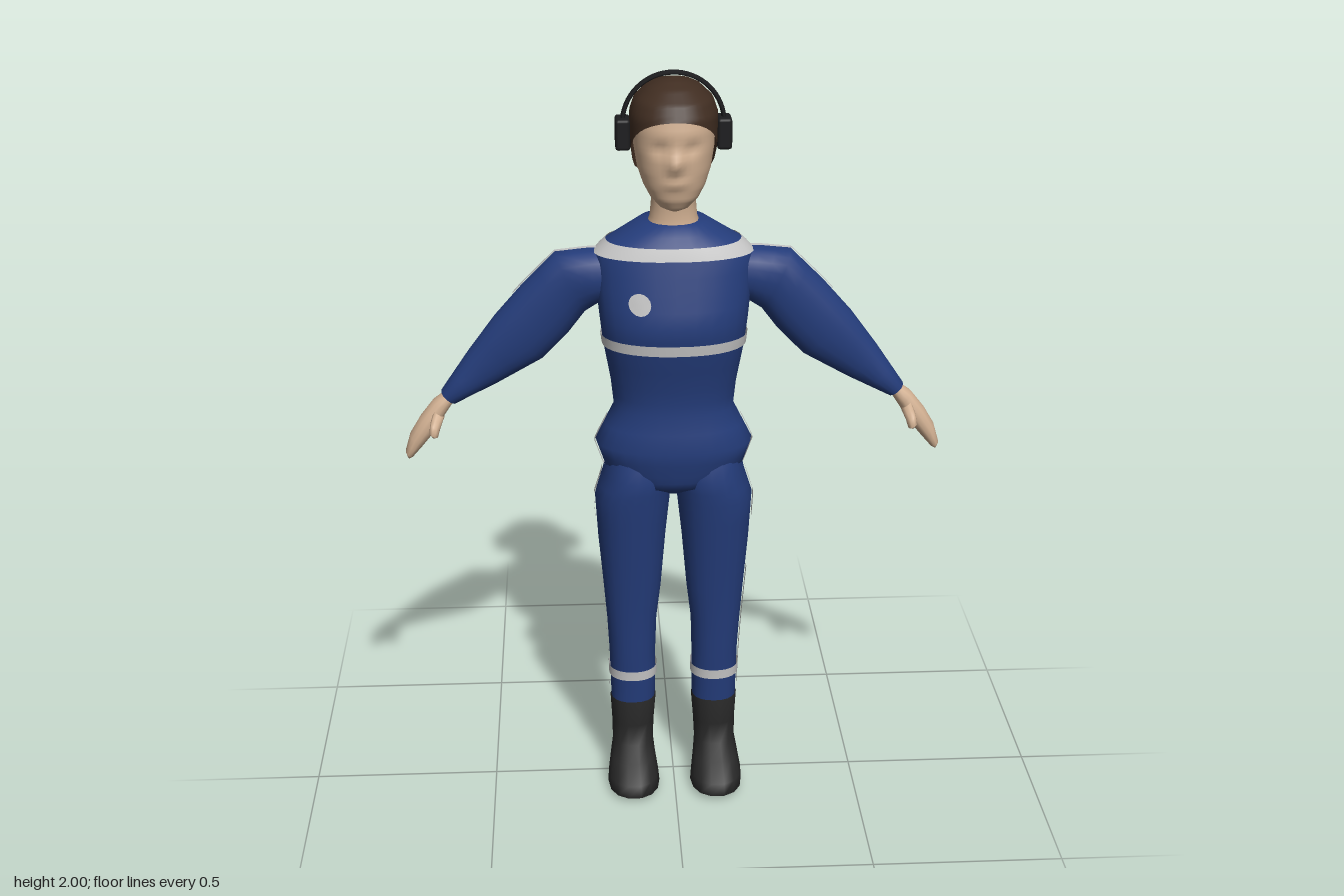
import * as THREE from 'three';
import { mergeVertices } from 'three/addons/utils/BufferGeometryUtils.js';
import { RoundedBoxGeometry } from 'three/addons/geometries/RoundedBoxGeometry.js';

const TAU = Math.PI * 2;
const mat = (name, color) => {
  const m = new THREE.MeshStandardMaterial({ color });
  m.name = name;
  return m;
};

// A ring is [ax, ay, bx, by, zBack, zFront]: two ends of its width plus its depth.
const level = (y, r, z0, z1, cx = 0) => [cx + r, y, cx - r, y, z0, z1];
const mirrorRing = ([ax, ay, bx, by, z0, z1]) => [-bx, by, -ax, ay, z0, z1];
const soft = (v) => Math.sign(v) * Math.pow(Math.abs(v), 0.9);

// Point on the skin of a stack of rings, t being a fractional ring index.
function at(rings, t, angle, off = 0) {
  const i = Math.min(Math.floor(t), rings.length - 2), f = t - i;
  const [ax, ay, bx, by, z0, z1] = rings[i].map((v, k) => v + (rings[i + 1][k] - v) * f);
  const hx = (ax - bx) / 2, hy = (ay - by) / 2, k = 1 + off / Math.max(Math.hypot(hx, hy), 1e-4);
  const c = soft(Math.cos(angle)) * k, s = soft(Math.sin(angle));
  return new THREE.Vector3((ax + bx) / 2 + hx * c, (ay + by) / 2 + hy * c,
    (z0 + z1) / 2 + ((z1 - z0) / 2 + off) * s);
}

// Ring index at a height, for level stacks.
function indexAtY(rings, y) {
  for (let i = 0; i < rings.length - 1; i++)
    if (y <= rings[i + 1][1]) return Math.max(0, i + (y - rings[i][1]) / (rings[i + 1][1] - rings[i][1]));
  return rings.length - 1;
}

// Smooth surface from f(u, v), facing along du x dv.
function grid(f, nu, nv) {
  const pos = [], idx = [];
  for (let i = 0; i <= nu; i++)
    for (let j = 0; j <= nv; j++) pos.push(...f(i / nu, j / nv).toArray());
  for (let i = 0; i < nu; i++)
    for (let j = 0; j < nv; j++) {
      const a = i * (nv + 1) + j, b = a + nv + 1;
      idx.push(a, b, a + 1, b, b + 1, a + 1);
    }
  let g = new THREE.BufferGeometry();
  g.setAttribute('position', new THREE.Float32BufferAttribute(pos, 3));
  g.setIndex(idx);
  g = mergeVertices(g, 1e-5);
  g.computeVertexNormals();
  return g;
}
const loft = (rings, sides = 20, sub = 2) =>
  grid((u, v) => at(rings, u * (rings.length - 1), v * TAU), (rings.length - 1) * sub, sides);
const patch = (rings, t0, t1, a0, a1, nu, nv, off = 0.004) =>
  grid((u, v) => at(rings, t0 + (t1 - t0) * u, a0 + (a1 - a0) * v, off), nu, nv);
const bandY = (rings, y0, y1, a0 = 0, a1 = TAU, nu = 2, nv = 32) =>
  patch(rings, indexAtY(rings, y0), indexAtY(rings, y1), a0, a1, nu, nv);

export function createModel() {
  const model = new THREE.Group();
  model.name = 'figure';
  const suit = mat('suitBlue', 0x243c7a), stripe = mat('stripeGrey', 0xc6c6c6);
  const skin = mat('skin', 0xd0af91), hair = mat('hairBrown', 0x402d21);
  const boot = mat('bootBlack', 0x272727), black = mat('headsetBlack', 0x1c1c1e);
  stripe.side = THREE.DoubleSide;
  hair.side = THREE.DoubleSide;
  const add = (name, geometry, material) => {
    const m = new THREE.Mesh(geometry, material);
    m.name = name;
    model.add(m);
    return m;
  };

  // Torso of the overalls
  const torso = [
    level(0.88, 0.03, -0.03, 0.05), level(0.92, 0.14, -0.1, 0.12), level(0.96, 0.182, -0.112, 0.132),
    level(1.03, 0.205, -0.115, 0.145), level(1.13, 0.156, -0.086, 0.13), level(1.2, 0.163, -0.085, 0.135),
    level(1.31, 0.182, -0.09, 0.16), level(1.38, 0.19, -0.09, 0.17), level(1.46, 0.198, -0.09, 0.15),
    level(1.548, 0.2, -0.09, 0.127), level(1.575, 0.172, -0.089, 0.118), level(1.622, 0.085, -0.082, 0.078),
    level(1.628, 0.02, -0.02, 0.02)];
  add('torso', loft(torso, 28), suit);
  add('chestStripe', bandY(torso, 1.308, 1.336), stripe);
  add('yokeStripe', bandY(torso, 1.546, 1.577), stripe);
  // Round chest patch that follows the cloth
  add('chestPatch', grid((u, v) => {
    const x = -0.09 + 0.028 * u * Math.cos(v * TAU), y = 1.442 + 0.028 * u * Math.sin(v * TAU);
    const angle = Math.acos(-Math.pow(-x / 0.2, 1 / 0.9));
    return at(torso, indexAtY(torso, y), angle, 0.005);
  }, 2, 16), stripe);

  const leg = [
    level(0.245, 0.06, -0.049, 0.064, 0.112), level(0.34, 0.062, -0.055, 0.07, 0.112),
    level(0.4, 0.063, -0.062, 0.075, 0.113), level(0.5, 0.067, -0.046, 0.082, 0.114),
    level(0.6, 0.077, -0.054, 0.092, 0.112), level(0.75, 0.09, -0.08, 0.11, 0.112),
    level(0.87, 0.1, -0.1, 0.125, 0.109), level(0.94, 0.091, -0.108, 0.13, 0.096),
    level(1.02, 0.08, -0.09, 0.11, 0.09)];
  const bootRings = [
    level(0.004, 0.01, 0.07, 0.09, 0.115), level(0.005, 0.058, 0, 0.16, 0.114),
    level(0.02, 0.071, -0.012, 0.183, 0.114), level(0.05, 0.069, -0.018, 0.172, 0.115),
    level(0.085, 0.062, -0.035, 0.118, 0.115), level(0.12, 0.056, -0.048, 0.072, 0.114),
    level(0.18, 0.058, -0.051, 0.066, 0.113), level(0.255, 0.063, -0.052, 0.068, 0.112),
    level(0.256, 0.05, -0.04, 0.055, 0.112)];
  // Sleeve, wrist to shoulder
  const arm = [
    [0.59, 1.155, 0.578, 1.143, 0, 0.01], [0.603, 1.168, 0.565, 1.136, -0.033, 0.04],
    [0.53, 1.275, 0.455, 1.19, -0.046, 0.047], [0.46, 1.37, 0.335, 1.258, -0.055, 0.06],
    [0.385, 1.455, 0.27, 1.325, -0.057, 0.065], [0.3, 1.54, 0.225, 1.385, -0.056, 0.07],
    [0.215, 1.55, 0.19, 1.41, -0.056, 0.078], [0.15, 1.55, 0.15, 1.42, -0.05, 0.07]];
  // Hand, fingertips to wrist
  const hand = [
    [0.697, 0.99, 0.69, 0.988, 0.005, 0.03], [0.702, 1.008, 0.682, 0.993, -0.014, 0.045],
    [0.688, 1.055, 0.655, 1.023, -0.02, 0.05], [0.66, 1.102, 0.622, 1.062, -0.021, 0.05],
    [0.625, 1.145, 0.592, 1.11, -0.02, 0.04], [0.596, 1.165, 0.57, 1.142, -0.018, 0.032]];
  const thumb = [
    [0.626, 1.066, 0.622, 1.064, 0.073, 0.079], [0.634, 1.078, 0.612, 1.066, 0.06, 0.088],
    [0.631, 1.1, 0.606, 1.085, 0.042, 0.082], [0.622, 1.125, 0.595, 1.108, 0.01, 0.05]];

  for (const side of [1, -1]) {
    const name = (part) => (side > 0 ? 'left' : 'right') + part;
    const own = (rings) => (side > 0 ? rings : rings.map(mirrorRing));
    const outer = side > 0 ? 0 : Math.PI;
    const l = own(leg), a = own(arm);
    add(name('Leg'), loft(l), suit);
    add(name('AnkleStripe'), bandY(l, 0.328, 0.356), stripe);
    add(name('ShinSideStripe'), bandY(l, 0.28, 0.65, outer - 0.09, outer + 0.09, 12, 2), stripe);
    add(name('ThighSideStripe'), bandY(l, 0.8, 0.95, outer - 0.07, outer + 0.07, 8, 2), stripe);
    add(name('HipSideStripe'), bandY(torso, 0.95, 1.1, outer - 0.05, outer + 0.05, 8, 2), stripe);
    add(name('Boot'), loft(own(bootRings), 14, 1), boot);
    add(name('Sleeve'), loft(a), suit);
    add(name('SleeveStripe'), patch(a, 3.7, 6.3, outer - 0.09, outer + 0.09, 12, 2), stripe);
    add(name('Hand'), loft(own(hand), 14), skin);
    add(name('Thumb'), loft(own(thumb), 10), skin);
  }

  // Neck and face, with nose, brow and mouth shaped by a rule
  add('neck', loft([level(1.6, 0.072, -0.06, 0.072), level(1.635, 0.06, -0.048, 0.067),
    level(1.68, 0.056, -0.046, 0.07), level(1.74, 0.068, -0.06, 0.075)]), skin);
  const head = [
    level(1.664, 0.012, 0.06, 0.085), level(1.676, 0.038, 0.01, 0.113), level(1.7, 0.061, -0.015, 0.128),
    level(1.73, 0.078, -0.045, 0.135), level(1.77, 0.092, -0.075, 0.14), level(1.82, 0.1, -0.092, 0.143),
    level(1.87, 0.103, -0.1, 0.143), level(1.91, 0.1, -0.098, 0.135), level(1.95, 0.07, -0.06, 0.09)];
  const bump = (x, y, cx, cy, wx, wy) => Math.exp(-(((x - cx) / wx) ** 2) - ((y - cy) / wy) ** 2);
  add('face', grid((u, v) => {
    const p = at(head, u * (head.length - 1), v * TAU);
    if (p.z > 0.05) {
      const x = Math.abs(p.x);
      p.z += 0.022 * bump(x, p.y, 0, 1.797, 0.017, 0.024) + 0.008 * bump(x, p.y, 0, 1.745, 0.03, 0.011)
        - 0.011 * bump(x, p.y, 0.038, 1.832, 0.022, 0.016);
    }
    return p;
  }, 32, 48), skin);

  // Hair cap: hairline high over the brow, low at the nape
  const hairRings = [
    level(1.69, 0.066, -0.08, 0.06), level(1.76, 0.099, -0.102, 0.13), level(1.82, 0.108, -0.112, 0.147),
    level(1.9, 0.11, -0.115, 0.144), level(1.935, 0.098, -0.102, 0.125), level(1.965, 0.066, -0.07, 0.085),
    level(1.982, 0.03, -0.025, 0.045), level(1.985, 0.001, 0.009, 0.011)];
  add('hair', grid((u, v) => {
    const s = Math.sin(v * TAU);
    const edge = s > 0 ? 1.78 + 0.12 * Math.pow(s, 0.65) : 1.78 - 0.08 * Math.pow(-s, 0.7);
    return at(hairRings, indexAtY(hairRings, edge + (1.985 - edge) * Math.pow(u, 0.75)), v * TAU);
  }, 18, 36), hair);
  add('ponytail', loft([
    level(1.588, 0.004, -0.153, -0.146), level(1.63, 0.017, -0.168, -0.136), level(1.7, 0.028, -0.18, -0.126),
    level(1.76, 0.034, -0.183, -0.116), level(1.83, 0.036, -0.172, -0.106), level(1.88, 0.03, -0.148, -0.098),
    level(1.905, 0.018, -0.122, -0.092), level(1.91, 0.002, -0.108, -0.1)], 12), hair);

  // Headset
  const headband = new THREE.TorusGeometry(0.126, 0.006, 8, 32, Math.PI);
  headband.scale(1, 1, 2.2);
  add('headband', headband, black).position.set(0, 1.868, 0.007);
  for (const side of [1, -1])
    add(side > 0 ? 'leftEarCup' : 'rightEarCup', new RoundedBoxGeometry(0.037, 0.078, 0.07, 2, 0.008), black)
      .position.set(side * 0.126, 1.845, 0.007);
  return model;
}
